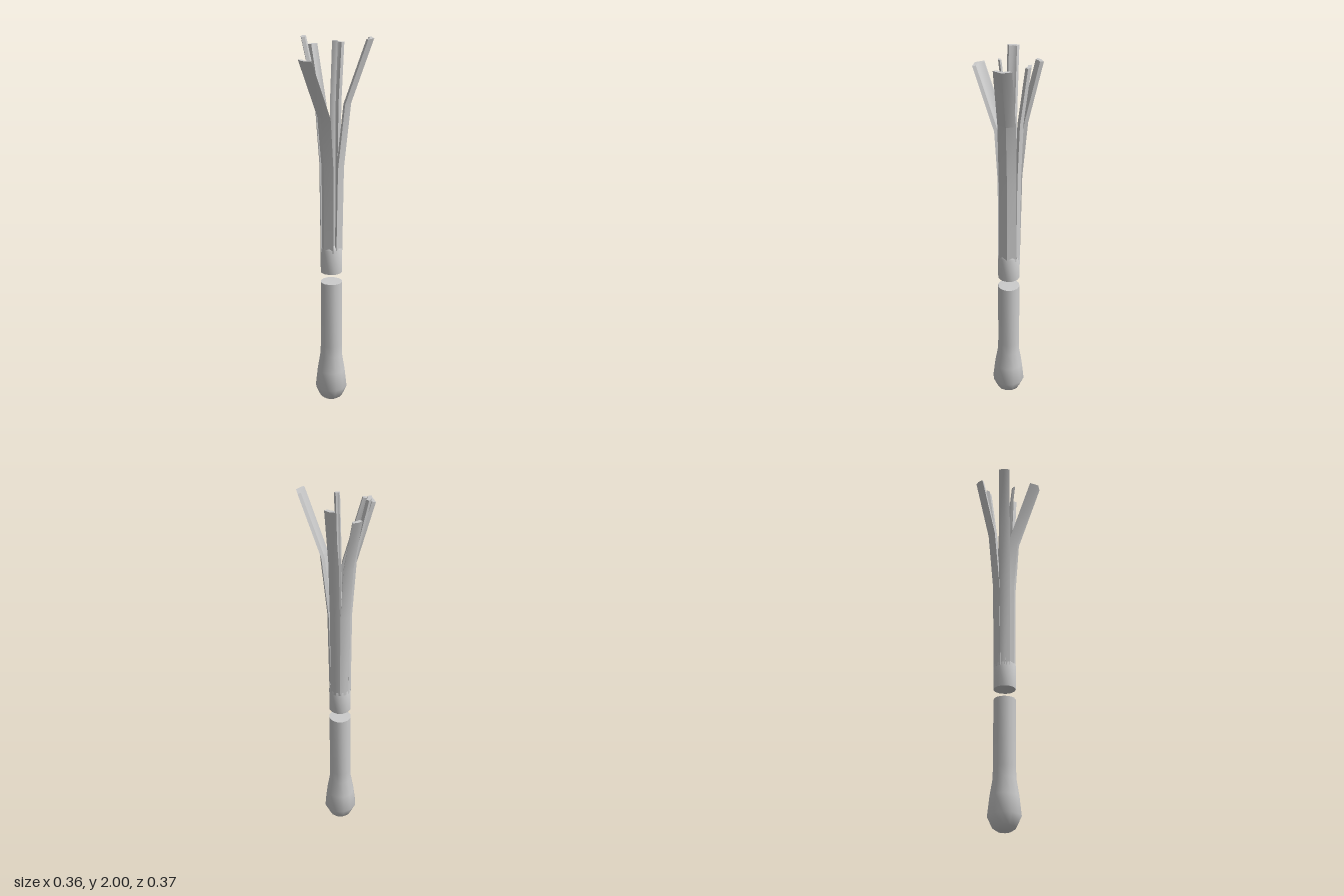
import * as THREE from 'three';
import { toCreasedNormals } from 'three/addons/utils/BufferGeometryUtils.js';

const CX = 0.047, CZ = -0.012; // stem axis
const R = 0.058;               // stem radius
const material = new THREE.MeshStandardMaterial({ color: 0xcccccc, side: THREE.DoubleSide });

function lathe(name, profile, sides) {
  const points = profile.map(([r, y]) => new THREE.Vector2(r, y));
  const mesh = new THREE.Mesh(toCreasedNormals(new THREE.LatheGeometry(points, sides), 0.8), material);
  mesh.name = name;
  mesh.position.set(CX, 0, CZ);
  return mesh;
}

// A thick trough-shaped strip: an arc section pushed outward along its direction.
// path rows are [height, outward offset]
function leaf(name, { angle, half, outer = R, inner = 0.039, path }) {
  const rad = THREE.MathUtils.degToRad;
  const dir = rad(angle), n = 2, m = n + 1, ring = 2 * m;
  const section = [];
  for (let k = 0; k <= n; k++) section.push([outer, dir + rad(half) * (2 * k / n - 1)]);
  for (let k = n; k >= 0; k--) section.push([inner, dir + rad(half) * (2 * k / n - 1)]);

  const positions = [], index = [];
  for (const [y, d] of path) {
    for (const [r, t] of section) {
      positions.push(CX + Math.cos(dir) * d + Math.cos(t) * r, y, CZ + Math.sin(dir) * d + Math.sin(t) * r);
    }
  }
  for (let j = 0; j < path.length - 1; j++) {
    for (let i = 0; i < ring; i++) {
      const a = j * ring + i, b = j * ring + (i + 1) % ring;
      index.push(a, a + ring, b, b, a + ring, b + ring);
    }
  }
  // end caps
  const top = (path.length - 1) * ring;
  for (let k = 0; k < n; k++) {
    const o = k, o2 = k + 1, i = ring - 1 - k, i2 = ring - 2 - k;
    index.push(top + o, top + i, top + o2, top + o2, top + i, top + i2);
    index.push(o, o2, i, o2, i2, i);
  }
  const geometry = new THREE.BufferGeometry();
  geometry.setAttribute('position', new THREE.Float32BufferAttribute(positions, 3));
  geometry.setIndex(index);
  const mesh = new THREE.Mesh(toCreasedNormals(geometry, 0.9), material);
  mesh.name = name;
  return mesh;
}

export function createModel() {
  const group = new THREE.Group();
  group.name = 'cutLeek';

  // Lower piece: bulb and white shaft
  group.add(lathe('bulbAndShaft', [
    [0, 0], [0.035, 0.006], [0.06, 0.023], [0.086, 0.08], [0.075, 0.18],
    [0.06, 0.27], [R, 0.33], [R, 0.695], [0, 0.697],
  ], 12));

  // Upper piece: short stem with a rounded core between the leaves
  group.add(lathe('upperStem', [
    [0, 0.75], [R, 0.752], [R, 0.885], [0.05, 0.9], [0.03, 0.907], [0, 0.91],
  ], 12));

  // Leaves fanned out around the stem
  const leaves = {
    leftwardWideLeaf: { angle: 180, half: 52, path: [[0.87, 0], [1.33, 0.002], [1.6, 0.024], [1.91, 0.164]] },
    frontWideLeaf: { angle: 60, half: 52, path: [[0.87, 0], [1.33, 0.007], [1.67, 0.042], [2, 0.155]] },
    backLeaf: { angle: 286, half: 28, path: [[0.87, 0], [1.35, 0.01], [1.64, 0.042], [1.94, 0.13]] },
    backNarrowLeaf: { angle: 237, half: 30, path: [[0.87, 0], [1.35, 0.006], [1.68, 0.03], [2, 0.099]] },
    sideLeaf: { angle: 340, half: 29, path: [[0.87, 0], [1.35, 0.003], [1.66, 0.014], [1.96, 0.052]] },
    innerLeaf: {
      angle: 122, half: 32, outer: 0.028, inner: 0.016,
      path: [[0.87, 0.005], [1.35, -0.005], [1.7, -0.002], [1.99, 0.03]],
    },
  };
  for (const [name, spec] of Object.entries(leaves)) group.add(leaf(name, spec));
  return group;
}
